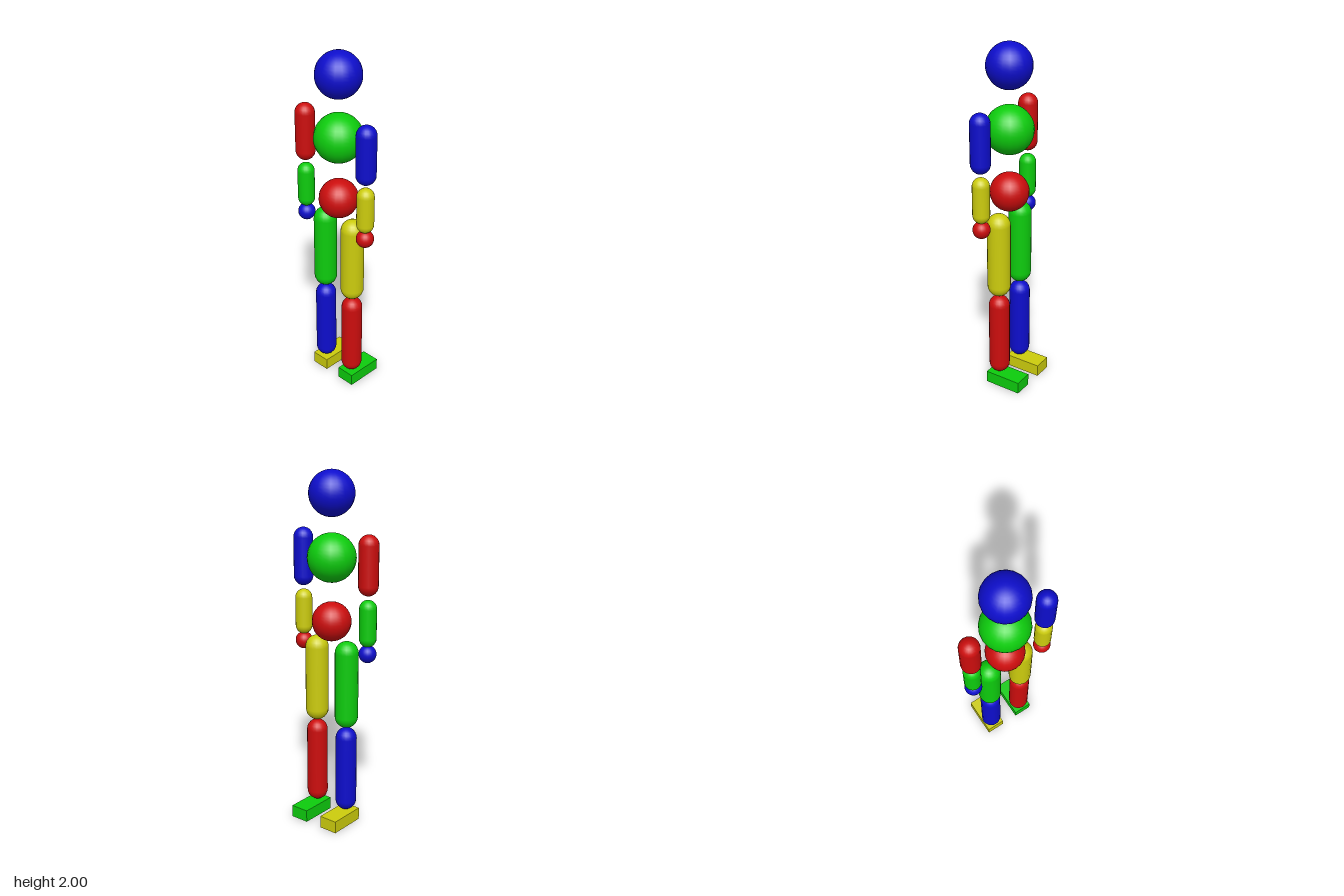
import * as THREE from 'three';

const material = (color) => new THREE.MeshStandardMaterial({ color });
const RED = material(0xcc0d0d);
const GREEN = material(0x0dcc0d);
const BLUE = material(0x0d0dcc);
const YELLOW = material(0xcccc0d);

const BODY_X = -0.016; // axis of head, trunk and legs
const ARM_X = -0.045; // arms hang slightly behind the trunk

function part(name, geometry, mat, x, y, z) {
  const mesh = new THREE.Mesh(geometry, mat);
  mesh.name = name;
  mesh.position.set(x, y, z);
  return mesh;
}

function ball(name, mat, r, x, y, z = 0) {
  return part(name, new THREE.SphereGeometry(r, 20, 20), mat, x, y, z);
}

// Upright capsule spanning bottom to top, round ends included
function limb(name, mat, r, bottom, top, x, z) {
  const geometry = new THREE.CapsuleGeometry(r, top - bottom - 2 * r, 6, 20);
  return part(name, geometry, mat, x, (top + bottom) / 2, z);
}

export function createModel() {
  const model = new THREE.Group();
  model.name = 'mannequin';

  // Head and trunk
  model.add(
    ball('head', BLUE, 0.125, BODY_X, 1.875),
    ball('chest', GREEN, 0.135, BODY_X, 1.532),
    ball('pelvis', RED, 0.11, BODY_X, 1.178),
  );

  // The figure looks towards +x, so its left side is -z
  const sides = [
    { side: 'left', s: -1, upperArm: RED, forearm: GREEN, hand: BLUE, thigh: GREEN, shin: BLUE, foot: YELLOW },
    { side: 'right', s: 1, upperArm: BLUE, forearm: YELLOW, hand: RED, thigh: YELLOW, shin: RED, foot: GREEN },
  ];
  for (const c of sides) {
    const armZ = c.s * 0.226;
    const legZ = c.s * 0.106;

    const arm = new THREE.Group();
    arm.name = c.side + 'Arm';
    arm.add(
      limb('upperArm', c.upperArm, 0.055, 1.347, 1.675, ARM_X, armZ),
      limb('forearm', c.forearm, 0.048, 1.066, 1.326, ARM_X, armZ),
      ball('hand', c.hand, 0.049, ARM_X, 1.026, armZ),
    );

    const leg = new THREE.Group();
    leg.name = c.side + 'Leg';
    leg.add(
      limb('thigh', c.thigh, 0.066, 0.58, 1.082, BODY_X, legZ),
      limb('shin', c.shin, 0.06, 0.074, 0.576, BODY_X, legZ),
      part('foot', new THREE.BoxGeometry(0.22, 0.07, 0.11), c.foot, 0.04, 0.035, legZ),
    );
    model.add(arm, leg);
  }
  return model;
}
